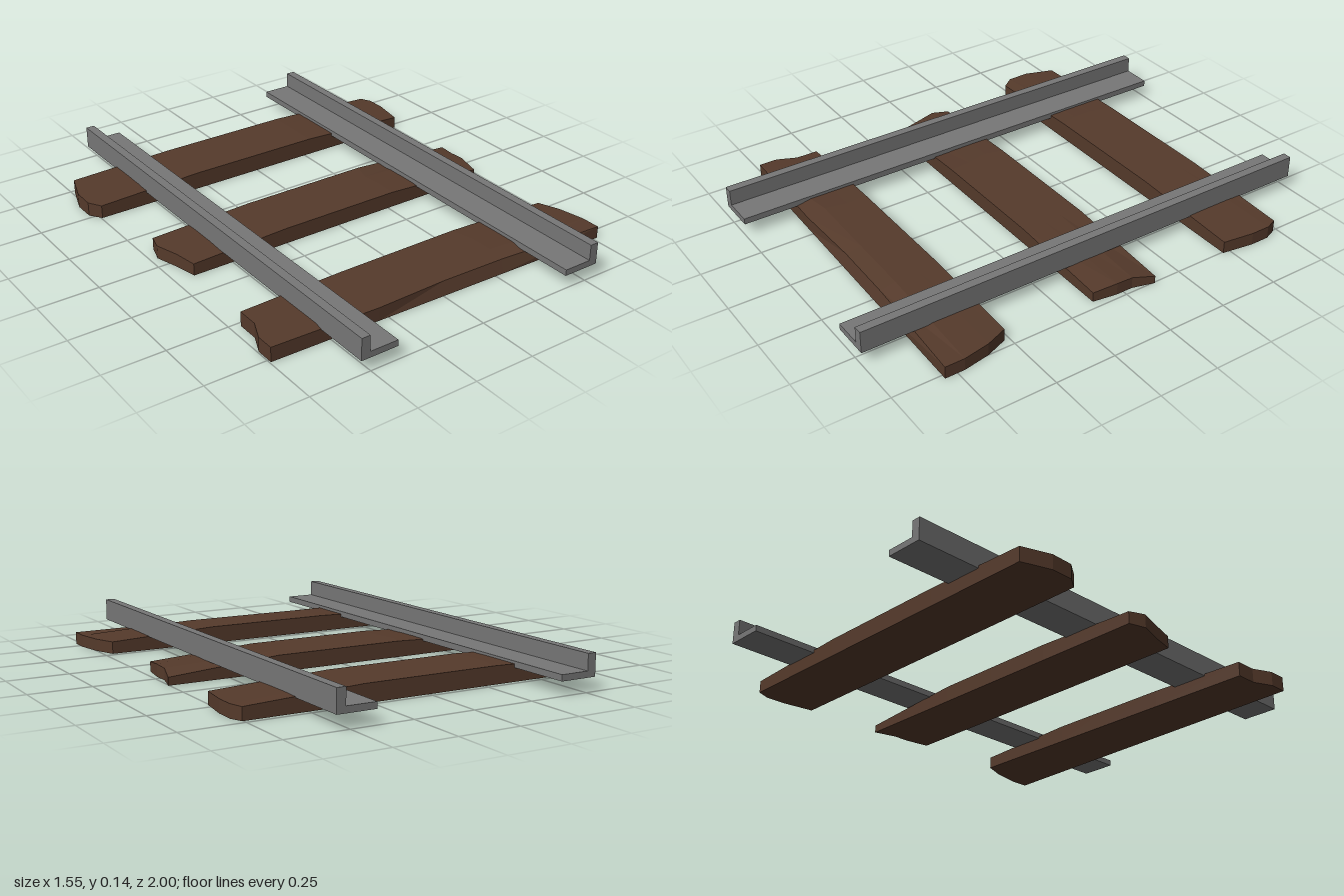
import * as THREE from 'three';

const COLUMNS = [0, 0.3, 0.5, 0.68, 1]; // stations along a sleeper

// Each sleeper: rows from back to front with the x of its worn ends,
// z at the left-hand (-x) and right-hand (+x) end, and end top heights.
const SLEEPERS = [
  {
    name: 'backSleeper', chip: 0, crown: 0.072,
    rows: [
      { x: [-0.74, 0.755], z: [-0.73, -0.73], y: [0.06, 0.05] },
      { x: [-0.78, 0.775], z: [-0.61, -0.68], y: [0.06, 0.052] },
      { x: [-0.78, 0.775], z: [-0.52, -0.6], y: [0.058, 0.052] },
      { x: [-0.745, 0.755], z: [-0.47, -0.47], y: [0.055, 0.05] },
    ],
  },
  {
    name: 'middleSleeper', chip: 0, crown: 0.066,
    rows: [
      { x: [-0.7, 0.755], z: [-0.13, -0.13], y: [0.05, 0.032] },
      { x: [-0.72, 0.73], z: [-0.06, -0.04], y: [0.055, 0.047] },
      { x: [-0.69, 0.73], z: [0.04, 0.03], y: [0.055, 0.05] },
      { x: [-0.67, 0.715], z: [0.13, 0.13], y: [0.05, 0.04] },
    ],
  },
  {
    name: 'frontSleeper', chip: 0.015, crown: 0.07,
    rows: [
      { x: [-0.71, 0.715], z: [0.52, 0.52], y: [0.06, 0.05] },
      { x: [-0.71, 0.75], z: [0.61, 0.61], y: [0.06, 0.05] },
      { x: [-0.745, 0.77], z: [0.69, 0.72], y: [0.06, 0.05] },
      { x: [-0.745, 0.77], z: [0.765, 0.8], y: [0.06, 0.05] },
    ],
  },
];

// Worn plank: a subdivided box bent to the rows of a sleeper
function sleeperGeometry({ rows, chip, crown }) {
  const geometry = new THREE.BoxGeometry(1, 1, 1, COLUMNS.length - 1, 1, rows.length - 1);
  const pos = geometry.attributes.position;
  const lerp = THREE.MathUtils.lerp;
  for (let i = 0; i < pos.count; i++) {
    const column = Math.round((pos.getX(i) + 0.5) * (COLUMNS.length - 1));
    const r = Math.round((pos.getZ(i) + 0.5) * (rows.length - 1));
    const top = pos.getY(i) > 0;
    const row = rows[r];
    const t = COLUMNS[column];
    const inner = column > 0 && column < COLUMNS.length - 1;
    const frontEdge = r === rows.length - 1;
    let y = inner ? crown : lerp(row.y[0], row.y[1], t);
    let z = lerp(row.z[0], row.z[1], t);
    // Split front edge: the top is lower and set back along the middle
    if (chip && frontEdge && inner) {
      y = 0.055;
      if (top && column > 1) z -= chip;
    }
    pos.setXYZ(i, lerp(row.x[0], row.x[1], t), top ? y : 0, z);
  }
  const flat = geometry.toNonIndexed();
  flat.computeVertexNormals();
  return flat;
}

// L-shaped rail: wide flange facing inwards, upright web on the outside
function railGeometry(outer, side) {
  const points = [
    [0, 0.055], [0.155, 0.055], [0.155, 0.08],
    [0.036, 0.08], [0.036, 0.145], [0, 0.145],
  ].map(([x, y]) => new THREE.Vector2(outer - side * x, y));
  const geometry = new THREE.ExtrudeGeometry(new THREE.Shape(points), { depth: 2, bevelEnabled: false });
  return geometry.translate(0, 0, -1);
}

export function createModel() {
  const model = new THREE.Group();
  model.name = 'railTrack';

  const wood = new THREE.MeshStandardMaterial({ color: 0x553a2b });
  wood.name = 'brown wood';
  const steel = new THREE.MeshStandardMaterial({ color: 0x777777 });
  steel.name = 'grey steel';

  const add = (name, geometry, material) => {
    const mesh = new THREE.Mesh(geometry, material);
    mesh.name = name;
    model.add(mesh);
  };

  for (const sleeper of SLEEPERS) add(sleeper.name, sleeperGeometry(sleeper), wood);
  add('leftRail', railGeometry(0.552, 1), steel);
  add('rightRail', railGeometry(-0.54, -1), steel);
  return model;
}
